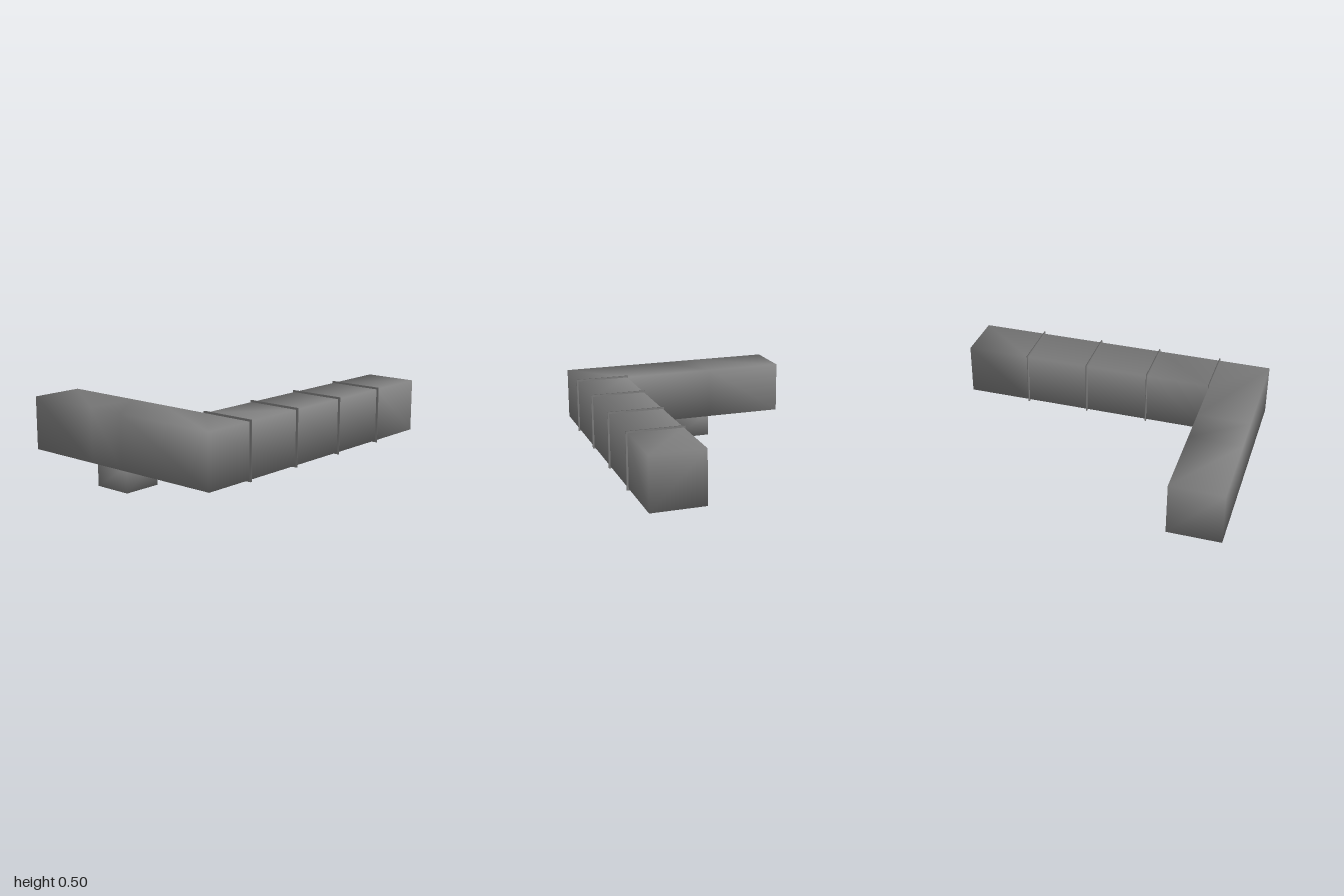
import * as THREE from 'three';
import { mergeVertices } from 'three/addons/utils/BufferGeometryUtils.js';

const BOTTOM = 0.15, TOP = 0.485;
const MID_Y = (BOTTOM + TOP) / 2;

// Box with shared corners, so its shading runs softly round the edges.
function softBox(w, h, d) {
  const box = new THREE.BoxGeometry(w, h, d);
  box.deleteAttribute('normal');
  box.deleteAttribute('uv');
  const g = mergeVertices(box);
  g.computeVertexNormals();
  return g;
}

// Square duct swept through [outerX, outerZ, innerX, innerZ] sections.
function ductGeometry(sections) {
  const pos = [], idx = [];
  const quad = (a, b, c, d) => idx.push(a, b, c, a, c, d);
  for (const [ox, oz, ix, iz] of sections) {
    pos.push(ox, BOTTOM, oz, ix, BOTTOM, iz, ix, TOP, iz, ox, TOP, oz);
  }
  for (let s = 0; s < sections.length - 1; s++) {
    for (let k = 0; k < 4; k++) {
      const a = s * 4 + k, b = s * 4 + (k + 1) % 4;
      quad(a, b, b + 4, a + 4);
    }
  }
  const e = (sections.length - 1) * 4;
  quad(3, 2, 1, 0);
  quad(e, e + 1, e + 2, e + 3);
  const g = new THREE.BufferGeometry();
  g.setAttribute('position', new THREE.Float32BufferAttribute(pos, 3));
  g.setIndex(idx);
  g.computeVertexNormals();
  return g;
}

export function createModel() {
  const model = new THREE.Group();
  model.name = 'airDuct';
  const metal = new THREE.MeshStandardMaterial({ color: 0x808080 });
  metal.name = 'grey metal';

  const add = (name, geometry, x = 0, y = 0, z = 0) => {
    const mesh = new THREE.Mesh(geometry, metal);
    mesh.name = name;
    mesh.position.set(x, y, z);
    model.add(mesh);
  };

  // L-shaped duct: short arm from the back, mitred corner, long arm to the left
  const joints = [-0.663, -0.248, 0.166, 0.582];
  const outerX = -1, innerX = -0.665, outerZ = 0.718, innerZ = 0.38;
  const sections = [
    ...[-0.73, -0.22, 0.03].map((z) => [outerX, z, innerX, z]),
    [outerX, outerZ, innerX, innerZ],
    ...[...joints.slice(1), 1].map((x) => [x, outerZ, x, innerZ]),
  ];
  add('duct', ductGeometry(sections));

  // Thin joint flanges along the long arm
  joints.forEach((x) => add('jointFlange', softBox(0.009, 0.357, 0.357), x, MID_Y, 0.55));

  // Outlet under the short arm, with its collar
  add('outlet', softBox(0.25, 0.16, 0.248), -0.831, 0.08, -0.098);
  add('outletCollar', softBox(0.262, 0.012, 0.262), -0.831, 0.146, -0.098);

  return model;
}
